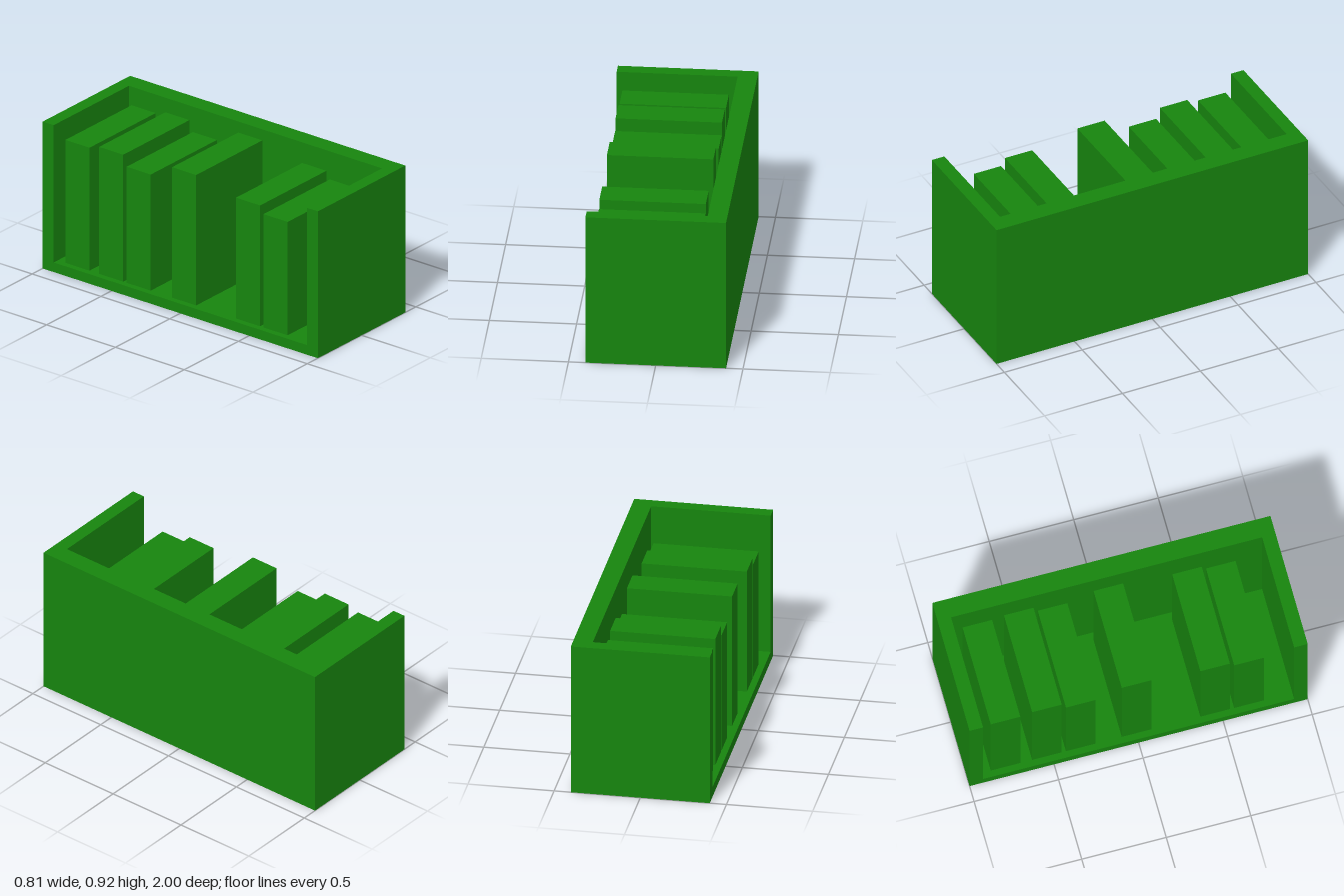
import * as THREE from 'three';

const material = new THREE.MeshStandardMaterial({ color: 0x17850e });

const X = 0.403, H = 0.92, FLOOR = 0.06; // half width, height, floor thickness
const INNER_X = 0.29, INNER_Z = 0.92;    // inside faces of the walls

function addBox(parent, name, [x0, x1], [y0, y1], [z0, z1]) {
  const mesh = new THREE.Mesh(new THREE.BoxGeometry(x1 - x0, y1 - y0, z1 - z0), material);
  mesh.name = name;
  mesh.position.set((x0 + x1) / 2, (y0 + y1) / 2, (z0 + z1) / 2);
  parent.add(mesh);
}

export function createModel() {
  const model = new THREE.Group();
  model.name = 'openTrayWithBlocks';

  // floor slab
  addBox(model, 'floor', [-X, X], [0, FLOOR], [-1, 1]);

  // U-shaped wall, open towards -x; the plan is symmetric in z
  const plan = new THREE.Shape([
    [-X, -1], [X, -1], [X, 1], [-X, 1],
    [-X, INNER_Z], [INNER_X, INNER_Z], [INNER_X, -INNER_Z], [-X, -INNER_Z],
  ].map(([x, z]) => new THREE.Vector2(x, z)));
  const wallGeometry = new THREE.ExtrudeGeometry(plan, { depth: H - FLOOR, bevelEnabled: false });
  wallGeometry.rotateX(-Math.PI / 2);
  const wall = new THREE.Mesh(wallGeometry, material);
  wall.name = 'wall';
  wall.position.y = FLOOR;
  model.add(wall);

  // row of upright blocks: [centre z, top height]
  const blocks = new THREE.Group();
  blocks.name = 'blocks';
  const half = 0.0875;
  [[-0.777, 0.83], [-0.532, 0.855], [-0.332, 0.787], [-0.002, 0.877], [0.463, 0.817], [0.663, 0.77]]
    .forEach(([z, top], i) => {
      addBox(blocks, `block${i + 1}`, [-0.365, 0.245], [FLOOR, top], [z - half, z + half]);
    });
  model.add(blocks);

  return model;
}
